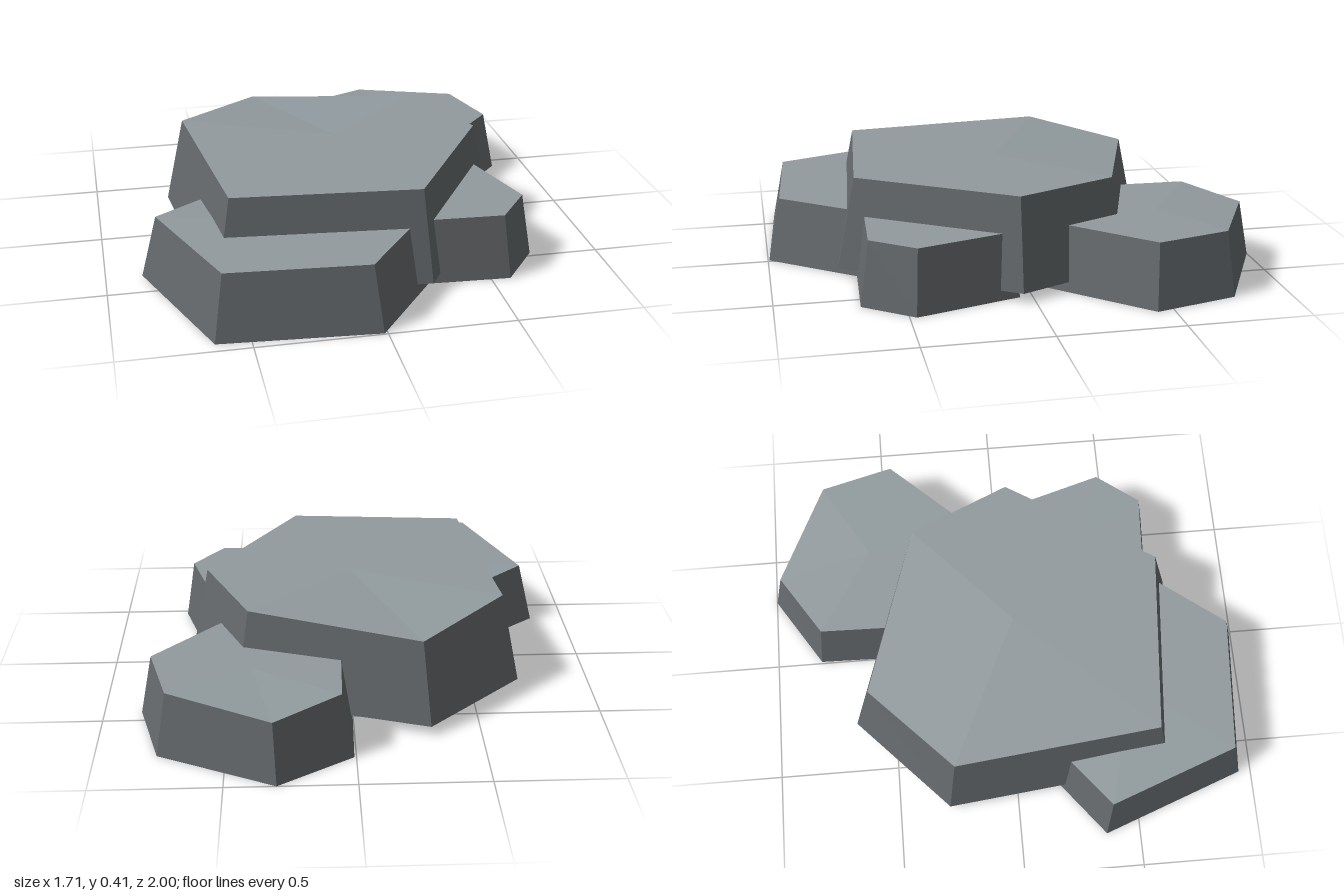
import * as THREE from 'three';

const stoneTop = new THREE.MeshStandardMaterial({ color: 0x919a9e, side: THREE.DoubleSide, flatShading: true });
stoneTop.name = 'stone top';
const stoneSide = new THREE.MeshStandardMaterial({ color: 0x64686b, side: THREE.DoubleSide, flatShading: true });
stoneSide.name = 'stone side';

function facets(name, triangles, material) {
  const geometry = new THREE.BufferGeometry();
  geometry.setAttribute('position', new THREE.Float32BufferAttribute(triangles.flat(), 3));
  geometry.computeVertexNormals();
  const mesh = new THREE.Mesh(geometry, material);
  mesh.name = name;
  return mesh;
}

// A hollow six-sided slab tapering upward, with one top corner (the first) chipped lower.
// ring: ground outline [x, z], clockwise as seen from above
function makeRock({ name, centre: [cx, cz], ring, taper, bottom, top, chip }) {
  const low = ring.map(([x, z]) => [x, bottom, z]);
  const high = ring.map(([x, z], i) => [
    cx + (x - cx) * taper, i === 0 ? top - chip : top, cz + (z - cz) * taper,
  ]);
  const middle = [cx, top, cz];
  const walls = [], cap = [];
  for (let i = 0; i < ring.length; i++) {
    const j = (i + 1) % ring.length;
    walls.push(low[i], high[i], high[j], low[i], high[j], low[j]);
    cap.push(middle, high[j], high[i]);
  }
  const rock = new THREE.Group();
  rock.name = name;
  rock.add(facets(name + 'Walls', walls, stoneSide), facets(name + 'Cap', cap, stoneTop));
  return rock;
}

const rocks = [
  {
    name: 'mainRock', centre: [-0.01, 0.03], taper: 0.89, bottom: 0.04, top: 0.41, chip: 0.035,
    ring: [[-0.3, -0.665], [0.466, -0.412], [0.668, 0.05], [0.245, 0.727], [-0.59, 0.655], [-0.695, -0.29]],
  },
  {
    name: 'backRock', centre: [0.4, -0.56], taper: 0.885, bottom: 0, top: 0.26, chip: 0.02,
    ring: [[0.303, -1], [0.762, -0.772], [0.85, -0.433], [0.496, -0.049], [-0.005, -0.192], [0.008, -0.81]],
  },
  {
    name: 'frontRock', centre: [-0.28, 0.5], taper: 0.89, bottom: 0, top: 0.26, chip: 0.02,
    ring: [[-0.45, 0.04], [0.06, 0.1], [0.27, 0.62], [-0.013, 0.995], [-0.635, 0.95], [-0.855, 0.36]],
  },
  {
    name: 'smallRock', centre: [0.37, 0.36], taper: 0.88, bottom: 0, top: 0.26, chip: 0.02,
    ring: [[0.22, 0.02], [0.6, 0.05], [0.725, 0.473], [0.578, 0.67], [0.2, 0.65], [0.04, 0.32]],
  },
];

export function createModel() {
  const group = new THREE.Group();
  group.name = 'rockCluster';
  for (const rock of rocks) group.add(makeRock(rock));

  // The outlines run clockwise from above: flip every triangle whose corners face inward
  group.traverse((part) => {
    if (!part.isMesh) return;
    const { position } = part.geometry.attributes;
    const box = new THREE.Box3().setFromBufferAttribute(position);
    const inside = box.getCenter(new THREE.Vector3()).setY(0.1);
    const tri = new THREE.Triangle(), normal = new THREE.Vector3(), out = new THREE.Vector3();
    for (let i = 0; i < position.count; i += 3) {
      tri.setFromAttributeAndIndices(position, i, i + 1, i + 2);
      tri.getNormal(normal);
      tri.getMidpoint(out).sub(inside);
      if (normal.dot(out) < 0) {
        position.setXYZ(i + 1, ...tri.c.toArray());
        position.setXYZ(i + 2, ...tri.b.toArray());
      }
    }
    part.geometry.computeVertexNormals();
  });
  return group;
}
